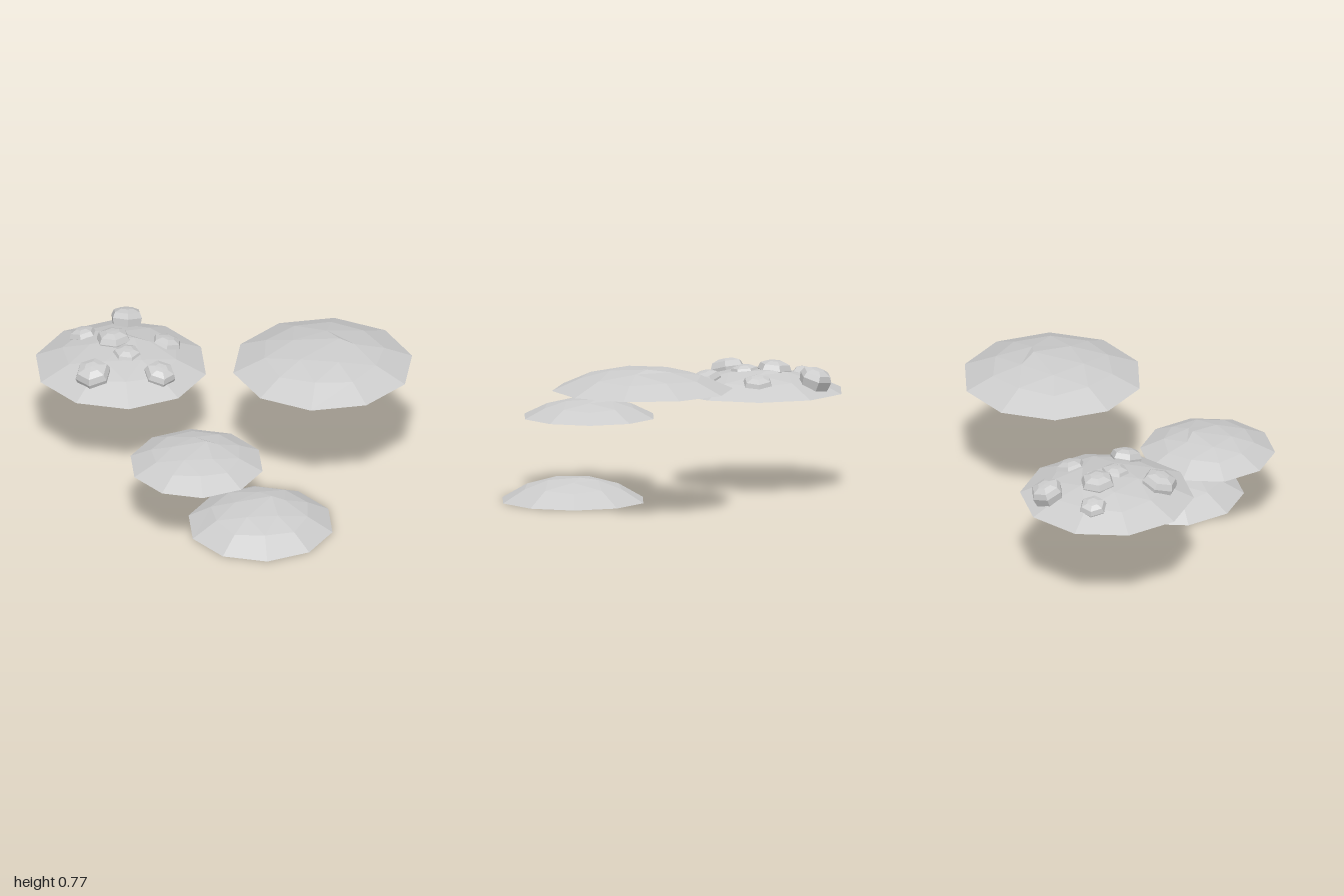
import * as THREE from 'three';

const material = new THREE.MeshStandardMaterial({
  color: 0xcccccc, flatShading: true, side: THREE.DoubleSide,
});

// Faceted shell: decagon rim, staggered ring, five-point crown, off-centre peak
function domeGeometry() {
  const points = [];
  const ring = (n, phase, radius, height) => {
    for (let i = 0; i < n; i++) {
      const a = phase + (i / n) * Math.PI * 2;
      const r = radius(i);
      points.push(Math.cos(a) * r, height(i), Math.sin(a) * r);
    }
  };
  const step = Math.PI / 5;
  ring(10, 0, () => 1, () => 0);                                            // 0-9
  ring(10, 0, (i) => (i % 2 ? 0.69 : 0.65), (i) => (i % 2 ? 0.53 : 0.6));   // 10-19
  ring(5, step, () => 0.36, () => 0.86);                                    // 20-24
  points.push(0.11, 1, -0.2);                                               // 25

  const faces = [];
  const face = (a, b, c) => faces.push(a, c, b);
  for (let i = 0; i < 10; i++) {
    const j = (i + 1) % 10;
    // Alternate the diagonals so that the facets form large triangles
    if (i % 2) { face(i, j, 10 + i); face(j, 10 + j, 10 + i); }
    else { face(i, j, 10 + j); face(i, 10 + j, 10 + i); }
  }
  for (let k = 0; k < 5; k++) {
    const even = 10 + 2 * k, odd = even + 1, next = 10 + ((2 * k + 2) % 10);
    const crown = 20 + k, crownNext = 20 + ((k + 1) % 5);
    face(even, odd, crown);
    face(odd, next, crown);
    face(next, crownNext, crown);
    face(crown, crownNext, 25);
  }
  const g = new THREE.BufferGeometry();
  g.setAttribute('position', new THREE.Float32BufferAttribute(points, 3));
  g.setIndex(faces);
  const flat = g.toNonIndexed();
  flat.computeVertexNormals();
  return flat;
}

// Six-sided chunky nodule with unit radius
function wartGeometry() {
  const profile = [[0, -0.8], [0.85, -0.8], [1, 0.05], [0.85, 0.38], [0.42, 0.55], [0, 0.57]];
  return new THREE.LatheGeometry(profile.map(([r, y]) => new THREE.Vector2(r, y)), 6);
}

export function createModel() {
  const model = new THREE.Group();
  const dome = domeGeometry();
  const wart = wartGeometry();

  // Caps: name, centre x, base y, centre z, radius, height, turn
  const caps = [
    ['lowestCap', 0.33, 0, 0.3, 0.385, 0.13, 0],
    ['smallCap', 0.015, 0.395, 0.42, 0.353, 0.1, 0],
    ['largeCap', 0.53, 0.655, -0.285, 0.475, 0.12, -0.22],
    ['wartyCap', -0.545, 0.522, -0.265, 0.455, 0.12, 0],
  ];
  for (const [name, x, y, z, radius, height, turn] of caps) {
    const mesh = new THREE.Mesh(dome, material);
    mesh.name = name;
    mesh.position.set(x, y, z);
    mesh.scale.set(radius, height, radius);
    mesh.rotation.y = turn;
    model.add(mesh);
  }

  // Warts lean outward from the cap centre: x, y, z, radius, turn
  const warts = new THREE.Group();
  warts.name = 'warts';
  const spots = [
    [-0.59, 0.61, -0.6, 0.088, 0.3],
    [-0.78, 0.59, -0.4, 0.074, 0.1],
    [-0.6, 0.628, -0.33, 0.092, 0.4],
    [-0.5, 0.615, -0.21, 0.078, 0.6],
    [-0.335, 0.585, -0.41, 0.084, 0.2],
    [-0.3, 0.592, -0.1, 0.085, 0.5],
    [-0.635, 0.605, -0.005, 0.096, 0.0],
  ];
  const up = new THREE.Vector3(0, 1, 0);
  for (const [x, y, z, radius, turn] of spots) {
    const mesh = new THREE.Mesh(wart, material);
    mesh.name = 'wart';
    mesh.position.set(x, y, z);
    mesh.scale.setScalar(radius);
    const lean = new THREE.Vector3((x + 0.545) * 1.0, 1, (z + 0.265) * 1.0).normalize();
    mesh.quaternion.setFromUnitVectors(up, lean);
    mesh.rotateY(turn);
    warts.add(mesh);
  }
  model.add(warts);
  return model;
}
